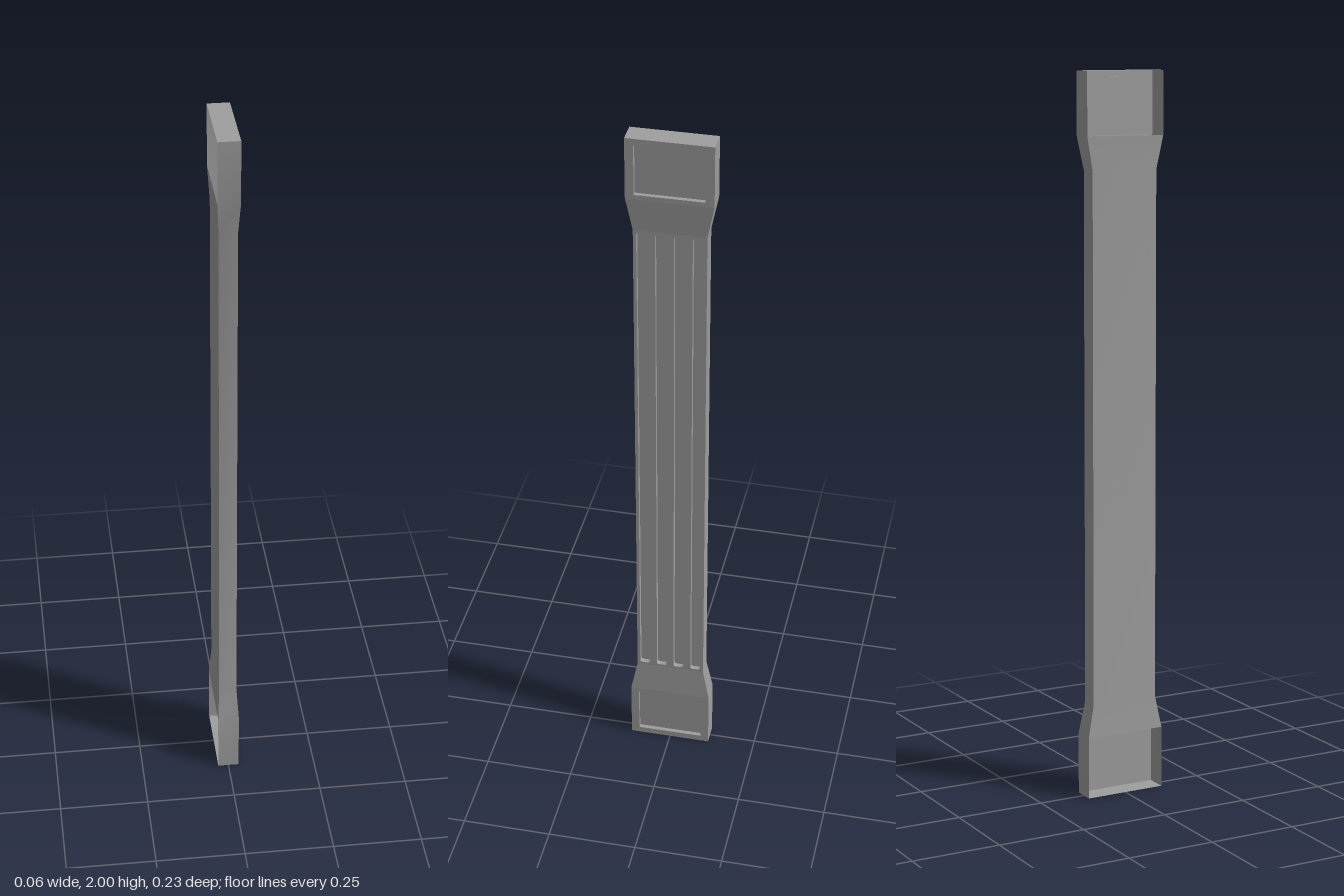
import * as THREE from 'three';
import { toCreasedNormals } from 'three/addons/utils/BufferGeometryUtils.js';

const material = new THREE.MeshStandardMaterial({ color: 0x9e9e9e, side: THREE.DoubleSide });

// Cross-section rings from bottom to top: height, half thickness (x), half width (z)
const HEAD = [0.03, 0.116], SHAFT = [0.025, 0.0975];
const rings = [[0, ...HEAD], [0.173, ...HEAD], [0.265, ...SHAFT], [1.735, ...SHAFT], [1.827, ...HEAD], [2, ...HEAD]];

// Surface made of four-cornered faces, corners counter-clockwise from outside; gentle bends are smooth
function quadMesh(name, quads) {
  const positions = quads.flatMap(([a, b, c, d]) => [a, b, c, a, c, d].flat());
  const geometry = new THREE.BufferGeometry();
  geometry.setAttribute('position', new THREE.Float32BufferAttribute(positions, 3));
  const mesh = new THREE.Mesh(toCreasedNormals(geometry, 0.5), material);
  mesh.name = name;
  return mesh;
}

// Flat sheet facing +x
function sheet(name, shape, x) {
  const geometry = new THREE.ShapeGeometry(shape, 4);
  geometry.rotateY(Math.PI / 2).translate(x, 0, 0);
  const mesh = new THREE.Mesh(geometry, material);
  mesh.name = name;
  return mesh;
}

// Rectangle with optional rounded corners
function rectangle(cx, y0, y1, width, r = 0) {
  const s = new THREE.Shape(), a = cx - width / 2, b = cx + width / 2;
  s.moveTo(a + r, y0).lineTo(b - r, y0);
  if (r) s.quadraticCurveTo(b, y0, b, y0 + r);
  s.lineTo(b, y1 - r);
  if (r) s.quadraticCurveTo(b, y1, b - r, y1);
  s.lineTo(a + r, y1);
  if (r) s.quadraticCurveTo(a, y1, a, y1 - r);
  s.lineTo(a, y0 + r);
  if (r) s.quadraticCurveTo(a, y0, a + r, y0);
  return s;
}

// Front plate with sunken pockets: rims, pocket walls and floors
function recessedPlate(name, plate, pockets, x, depth) {
  const group = new THREE.Group();
  group.name = name;
  plate.holes.push(...pockets);
  group.add(sheet(name + 'Face', plate, x));
  for (const pocket of pockets) {
    const pts = pocket.getPoints(4);
    const walls = [];
    pts.forEach((p, i) => {
      const q = pts[(i + 1) % pts.length];
      if (p.distanceTo(q) < 1e-6) return;
      walls.push([[x, q.y, -q.x], [x - depth, q.y, -q.x], [x - depth, p.y, -p.x], [x, p.y, -p.x]]);
    });
    group.add(quadMesh(name + 'PocketWall', walls), sheet(name + 'PocketFloor', pocket, x - depth));
  }
  return group;
}

export function createModel() {
  const model = new THREE.Group();
  model.name = 'pilaster';

  // Side walls all the way up; back and flare faces, with the heads open behind
  const sides = [], backs = [], flares = [];
  for (let i = 0; i < rings.length - 1; i++) {
    const [y0, x0, z0] = rings[i], [y1, x1, z1] = rings[i + 1];
    sides.push(
      [[-x0, y0, z0], [x0, y0, z0], [x1, y1, z1], [-x1, y1, z1]],
      [[x0, y0, -z0], [-x0, y0, -z0], [-x1, y1, -z1], [x1, y1, -z1]]);
    if (i > 0 && i < 4) backs.push([[-x0, y0, -z0], [-x0, y0, z0], [-x1, y1, z1], [-x1, y1, -z1]]);
    if (i === 1 || i === 3) flares.push([[x0, y0, z0], [x0, y0, -z0], [x1, y1, -z1], [x1, y1, z1]]);
  }
  model.add(quadMesh('sideWalls', sides), quadMesh('back', backs), quadMesh('frontFlares', flares));

  // End caps
  const [hx, hz] = HEAD;
  model.add(
    quadMesh('topCap', [[[-hx, 2, hz], [hx, 2, hz], [hx, 2, -hz], [-hx, 2, -hz]]]),
    quadMesh('bottomCap', [[[-hx, 0, -hz], [hx, 0, -hz], [hx, 0, hz], [-hx, 0, hz]]]));

  // Capital and base, each with one sunken panel
  model.add(
    recessedPlate('base', rectangle(0, 0, 0.173, 2 * hz), [rectangle(0, 0.018, 0.16, 0.186)], hx, 0.012),
    recessedPlate('capital', rectangle(0, 1.827, 2, 2 * hz), [rectangle(0, 1.84, 1.982, 0.186)], hx, 0.012));

  // Shaft with four flutes
  const flutes = [-1.5, -0.5, 0.5, 1.5].map((k) => rectangle(k * 0.0495, 0.273, 1.727, 0.029, 0.007));
  model.add(recessedPlate('shaft', rectangle(0, 0.265, 1.735, 2 * SHAFT[1]), flutes, SHAFT[0], 0.014));

  return model;
}
